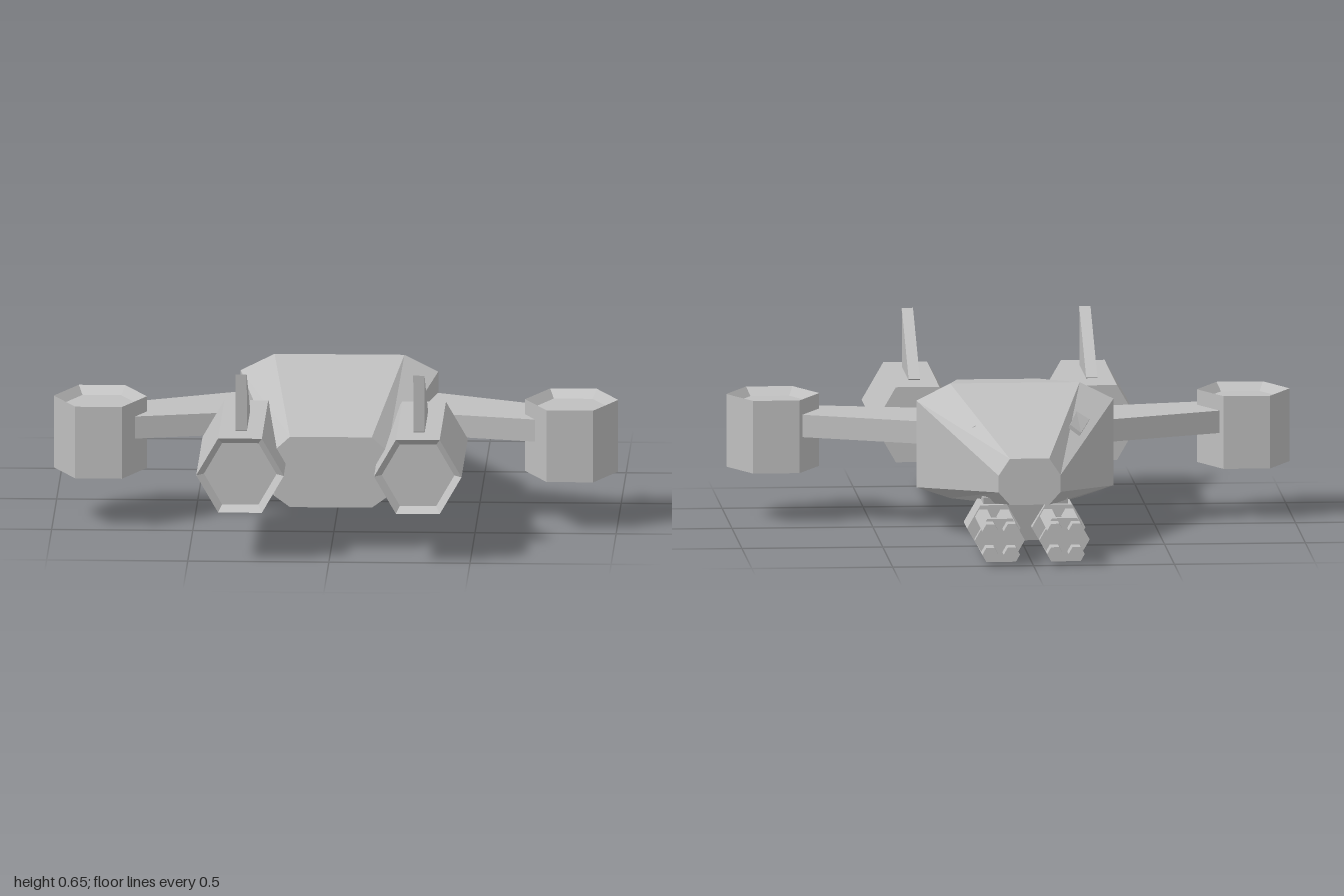
import * as THREE from 'three';

const hull = new THREE.MeshStandardMaterial({ color: 0xbfbfbf, flatShading: true });
hull.name = 'hull grey';

// Solid through cross-sections { z, pts }, pts counter-clockwise seen from +z, z increasing
function loft(sections) {
  const n = sections[0].pts.length;
  const pos = [], idx = [];
  for (const { z, pts } of sections) for (const [x, y] of pts) pos.push(x, y, z);
  for (let i = 0; i < sections.length - 1; i++) {
    for (let j = 0; j < n; j++) {
      const a = i * n + j, b = i * n + (j + 1) % n;
      idx.push(a, b, a + n, b, b + n, a + n);
    }
  }
  const last = (sections.length - 1) * n;
  for (let j = 1; j < n - 1; j++) {
    idx.push(0, j + 1, j);
    idx.push(last, last + j, last + j + 1);
  }
  const g = new THREE.BufferGeometry();
  g.setAttribute('position', new THREE.Float32BufferAttribute(pos, 3));
  g.setIndex(idx);
  const flat = g.toNonIndexed();
  flat.computeVertexNormals();
  return flat;
}

// Six-sided prism along +y with corners on the x axis; dish sinks the far end
function hexPrism(r, length, dish = 0) {
  const profile = [[0, 0], [r, 0], [r, length]];
  if (dish) profile.push([r * 0.83, length - dish]);
  profile.push([0, length - dish]);
  return new THREE.LatheGeometry(profile.map(p => new THREE.Vector2(...p)), 6, Math.PI / 2);
}

const hexAlongZ = (r, length, dish) => hexPrism(r, length, dish).rotateX(Math.PI / 2);

function extrude(points, depth) {
  const shape = new THREE.Shape(points.map(p => new THREE.Vector2(...p)));
  return new THREE.ExtrudeGeometry(shape, { depth, bevelEnabled: false });
}

// Side profile given as [z, y], centred on x = 0
const sideProfile = (points, width) =>
  extrude(points, width).rotateY(-Math.PI / 2).translate(width / 2, 0, 0);

// Eight-sided fuselage section
function octagon(z, flatHalf, sideHalf, bottom, sideLow, sideHigh, top) {
  const right = [[flatHalf, bottom], [sideHalf, sideLow], [sideHalf, sideHigh], [flatHalf, top]];
  return { z, pts: [...right, ...right.map(([x, y]) => [-x, y]).reverse()] };
}

export function createModel() {
  const model = new THREE.Group();
  const add = (name, geometry, x = 0, y = 0, z = 0, parent = model) => {
    const mesh = new THREE.Mesh(geometry, hull);
    mesh.name = name;
    mesh.position.set(x, y, z);
    parent.add(mesh);
    return mesh;
  };

  // Fuselage, nose toward -z
  const nose = octagon(-0.8, 0.07, 0.11, 0.19, 0.235, 0.295, 0.355);
  const middle = octagon(-0.06, 0.23, 0.35, 0.11, 0.15, 0.46, 0.52);
  const tail = octagon(0.8, 0.145, 0.2, 0.155, 0.195, 0.36, 0.41);
  add('fuselage', loft([nose, middle, tail]));

  // Pylon joining the guns to the belly
  add('gunMount', sideProfile(
    [[-0.33, 0.17], [-0.34, 0.09], [-0.46, 0.055], [-0.57, 0.03], [-0.61, 0.19]], 0.3));

  for (const s of [1, -1]) {
    const side = s > 0 ? 'left' : 'right';

    // Small raised panel on the nose chamfer
    const panel = z => {
      const k = (z + 0.8) / 0.74;
      const at = (t, lift) => [
        s * (0.07 + 0.16 * k + (0.04 + 0.08 * k) * t + lift * 0.5),
        0.355 + 0.165 * k - 0.06 * t + lift,
      ];
      const pts = [at(0.75, -0.005), at(0.75, 0.007), at(0.25, 0.007), at(0.25, -0.005)];
      return { z, pts: s > 0 ? pts : pts.reverse() };
    };
    add(side + 'NosePanel', loft([panel(-0.45), panel(-0.32)]));

    // Wing and its upright hexagonal pod
    const wing = [[0.24, -0.1], [0.34, -0.055], [0.75, 0.14], [0.71, 0.375], [0.2, 0.255]];
    add(side + 'Wing',
      extrude(wing.map(([x, z]) => [s * x, z]), 0.08).rotateX(Math.PI / 2), 0, 0.385, 0);
    add(side + 'WingPod', hexPrism(0.165, 0.26, 0.03).scale(1, 1, 1.26), s * 0.835, 0.18, 0.29);

    // Engine with dished exhaust, and tail fin
    add(side + 'Engine', hexAlongZ(0.155, 0.63, 0.03), s * 0.315, 0.312, 0.37);
    add(side + 'Fin', sideProfile(
      [[0.54, 0.45], [0.57, 0.43], [0.87, 0.43], [0.877, 0.45], [0.89, 0.655]], 0.04), s * 0.315);

    // Four-barrel rotary gun
    const gun = new THREE.Group();
    gun.name = side + 'Gun';
    gun.position.set(s * 0.115, 0.083, 0);
    model.add(gun);
    add('gunBody', hexAlongZ(0.095, 0.17), 0, 0, -0.63, gun);
    add('barrelClamp', hexAlongZ(0.089, 0.03), 0, 0, -0.933, gun);
    for (const i of [-1, 1]) for (const j of [-1, 1]) {
      add('barrel', hexAlongZ(0.029, 0.38), i * 0.038, j * 0.042, -1, gun);
    }
  }
  return model;
}
